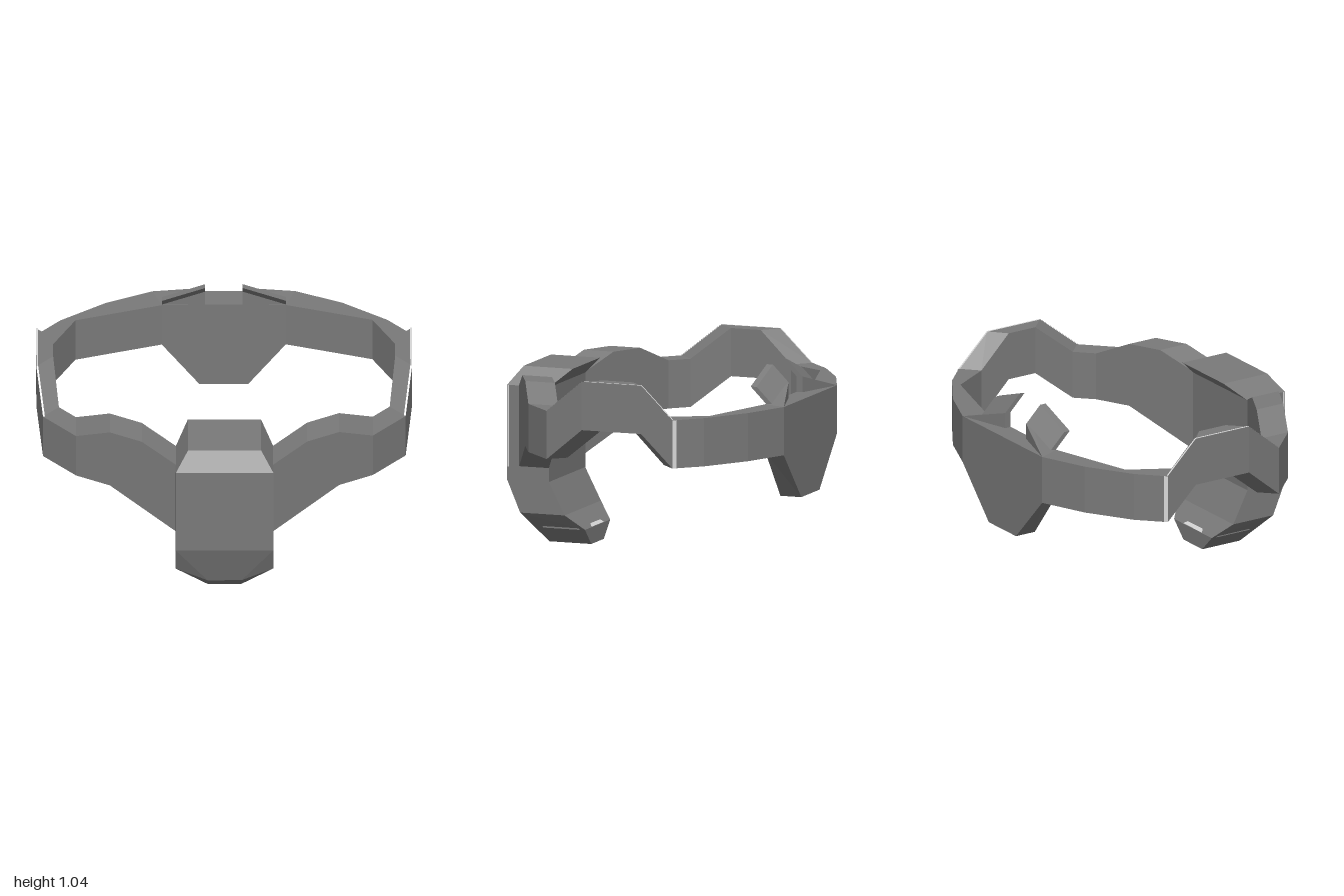
import * as THREE from 'three';
import { ConvexGeometry } from 'three/addons/geometries/ConvexGeometry.js';

const grey = new THREE.MeshStandardMaterial({ color: 0x7a7a7a, flatShading: true });
grey.name = 'belt grey';
const pale = new THREE.MeshStandardMaterial({ color: 0xd8d8d8, flatShading: true, side: THREE.DoubleSide });
pale.name = 'pale trim';

function part(name, geometry, material = grey) {
  const mesh = new THREE.Mesh(geometry, material);
  mesh.name = name;
  return mesh;
}

// Faceted block from its corners
const hull = (points) => new ConvexGeometry(points.map((p) => new THREE.Vector3(...p)));

// Left-right twin of every corner
const flip = (points, side) => points.map(([x, y, z]) => [side * x, y, z]);
const both = (points) => [...points, ...flip(points, -1)];

// Flat-faced geometry from four-cornered faces
function quads(faces) {
  const pos = faces.flatMap(([a, b, c, d]) => [...a, ...b, ...c, ...a, ...c, ...d]);
  const geometry = new THREE.BufferGeometry();
  geometry.setAttribute('position', new THREE.Float32BufferAttribute(pos, 3));
  geometry.computeVertexNormals();
  return geometry;
}

// Closed skin through four-cornered cross-sections
function loft(sections) {
  const last = sections[sections.length - 1];
  const faces = [sections[0], [...last].reverse()];
  for (let s = 0; s < sections.length - 1; s++) {
    const a = sections[s], b = sections[s + 1];
    for (let i = 0; i < 4; i++) {
      const j = (i + 1) % 4;
      faces.push([a[i], b[i], b[j], a[j]]);
    }
  }
  return quads(faces);
}

export function createModel() {
  const model = new THREE.Group();
  model.name = 'armoured belt';

  // Belt band, front to back: outer x, z, inner x, z, top y, bottom y
  const half = [
    [0.25, 0.75, 0.25, 0.58, 0.86, 0.42],
    [0.44, 0.655, 0.44, 0.485, 0.95, 0.515],
    [0.61, 0.57, 0.61, 0.4, 0.95, 0.6],
    [0.79, 0.48, 0.79, 0.31, 0.86, 0.6],
    [0.965, 0.305, 0.88, 0.22, 0.86, 0.6],
    [1.0, 0.09, 0.91, 0.0, 1.035, 0.775],
    [1.0, -0.25, 0.91, -0.17, 1.035, 0.775],
    [1.0, -0.43, 0.91, -0.345, 0.86, 0.6],
    [0.87, -0.56, 0.79, -0.56, 0.86, 0.6],
    [0.63, -0.715, 0.57, -0.625, 0.86, 0.6],
    [0.38, -0.82, 0.33, -0.695, 0.86, 0.6],
    [0.13, -0.82, 0.13, -0.7, 0.86, 0.335],
  ];
  const section = (side) => ([ox, oz, ix, iz, top, low]) => [
    [side * ox, low, oz], [side * ox, top, oz], [side * ix, top, iz], [side * ix, low, iz],
  ];
  const band = [...half.map(section(1)), ...[...half].reverse().map(section(-1))];
  model.add(part('beltBand', loft(band)));

  // Buckle block
  model.add(part('buckleBody', hull(both([
    [0.26, 0.86, 0.815], [0.26, 0.86, 0.575], [0.26, 0.35, 0.815], [0.26, 0.35, 0.575],
  ]))));

  // Cap leaning back over the buckle
  model.add(part('buckleCap', hull(both([
    [0.26, 0.86, 0.815], [0.26, 0.86, 0.575], [0.195, 0.957, 0.745], [0.195, 0.957, 0.465],
  ]))));

  // Hook curling under the buckle
  const waist = [[0.26, 0.175, 0.74], [0.26, 0.175, 0.485], [0.09, 0.09, 0.73]];
  model.add(part('buckleHook', hull(both([
    [0.26, 0.35, 0.815], [0.26, 0.35, 0.575], ...waist,
  ]))));
  model.add(part('hookTip', hull(both([
    ...waist, [0.09, 0, 0.64], [0.09, 0, 0.4], [0.18, 0.09, 0.4],
  ]))));
  model.add(part('hookTipTrim', quads([
    [[-0.09, 0.093, 0.399], [0.09, 0.093, 0.399], [0.07, 0.108, 0.414], [-0.07, 0.108, 0.414]],
  ]), pale));

  // Pale edging along the top of each side arch
  const archTrim = [];
  for (let i = 4; i < 7; i++) {
    const edge = ([ox, oz, , , top]) => [[ox - 0.01, top + 0.002, oz], [ox, top + 0.002, oz]];
    const [a, b] = edge(half[i]), [c, d] = edge(half[i + 1]);
    archTrim.push([a, b, d, c]);
  }
  // Pale strips on the back corner, the hook side and the buckle edge
  const trims = {
    ArchTrim: archTrim,
    CornerTrim: [[[1.001, 0.6, -0.431], [1.001, 0.86, -0.431], [0.987, 0.86, -0.447], [0.987, 0.6, -0.447]]],
    HookTrim: [[[0.18, 0.088, 0.43], [0.18, 0.088, 0.64], [0.19, 0.098, 0.64], [0.19, 0.098, 0.43]]],
    BuckleTrim: [[[0.262, 0.42, 0.812], [0.262, 0.42, 0.802], [0.262, 0.86, 0.802], [0.262, 0.86, 0.812]]],
  };

  for (const side of [1, -1]) {
    const prefix = side > 0 ? 'left' : 'right';
    for (const [name, faces] of Object.entries(trims)) {
      model.add(part(prefix + name, quads(faces.map((f) => flip(f, side))), pale));
    }

    // Slanted plate leaning in from the back rim, on a small wedge
    const plate = [[0.1, 0.945], [0.33, 0.86]].flatMap(([x, y]) => [
      [x, y, -0.735], [x, y + 0.09, -0.645], [x, y + 0.09, -0.61], [x, y, -0.7],
    ]);
    model.add(part(prefix + 'BackTab', hull(flip(plate, side))));
    const wedge = [
      [0.38, 0.86, -0.82], [0.33, 0.86, -0.735], [0.33, 0.86, -0.7],
      [0.1, 0.945, -0.735], [0.1, 0.945, -0.7], [0.1, 0.86, -0.735], [0.1, 0.86, -0.7],
    ];
    model.add(part(prefix + 'TabWedge', hull(flip(wedge, side))));
  }
  return model;
}
